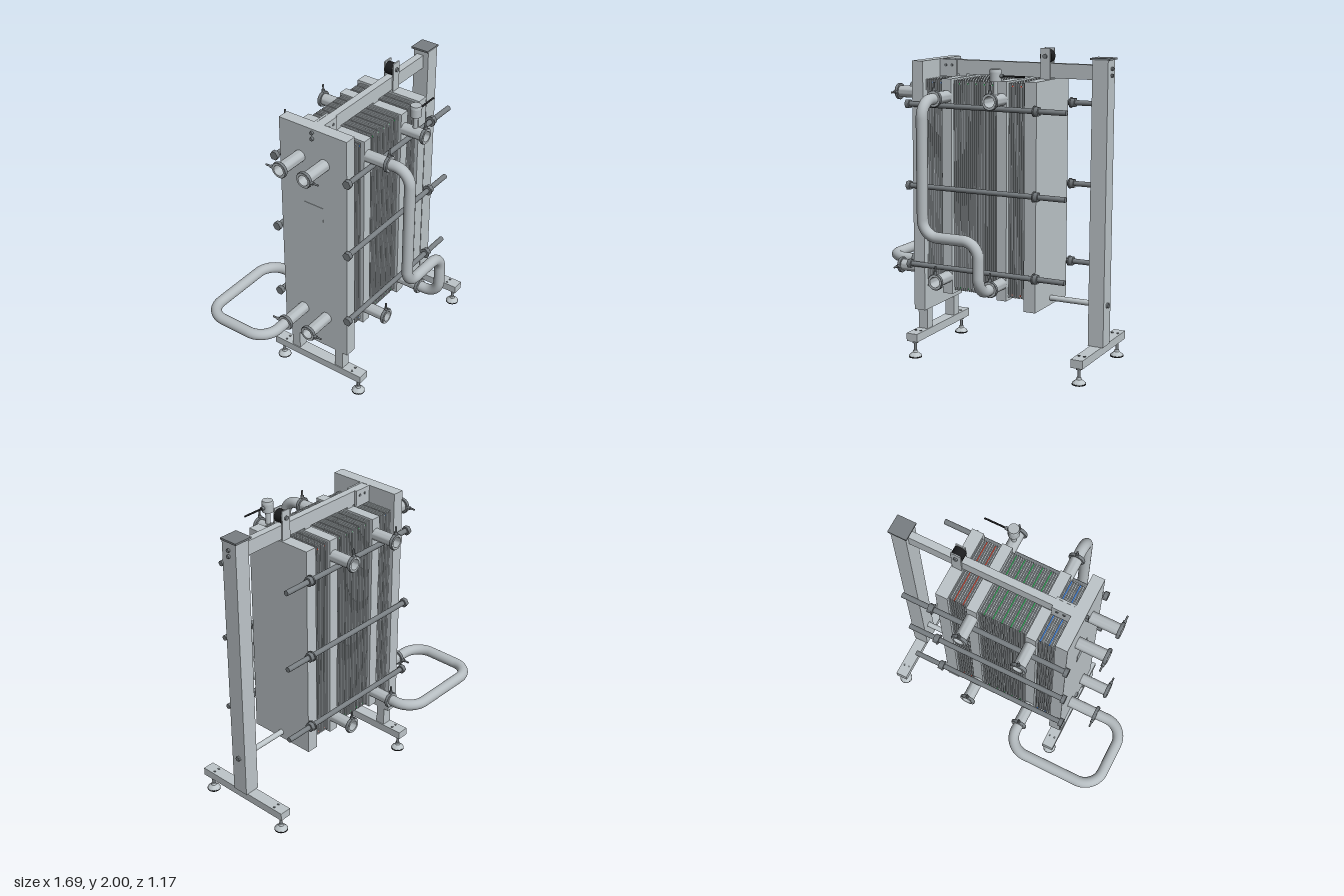
import * as THREE from 'three';
import { toCreasedNormals } from 'three/addons/utils/BufferGeometryUtils.js';

const mat = (name, color) => {
  const m = new THREE.MeshStandardMaterial({ color });
  m.name = name;
  return m;
};
const ZC = 0.015; // centre plane of the frame
const Y = new THREE.Vector3(0, 1, 0);
const V = (x, y, z) => new THREE.Vector3(x, y, z);

export function createModel() {
  const root = new THREE.Group();
  root.name = 'plateHeatExchanger';
  const steel = mat('steel', 0xbec6ca);
  const pipeMetal = mat('pipeMetal', 0xb6bdc1);
  const darkSteel = mat('darkSteel', 0x787e82);
  const black = mat('black', 0x1c1d1f);
  const blue = mat('blueGasket', 0x3f86e8);
  const green = mat('greenGasket', 0x2fb058);
  const red = mat('redGasket', 0xe0452f);

  const add = (name, geo, material, parent = root) => {
    const m = new THREE.Mesh(geo, material);
    m.name = name;
    parent.add(m);
    return m;
  };
  // box from its limits
  const box = (name, x0, x1, y0, y1, z0, z1, material) => {
    const m = add(name, new THREE.BoxGeometry(x1 - x0, y1 - y0, z1 - z0), material);
    m.position.set((x0 + x1) / 2, (y0 + y1) / 2, (z0 + z1) / 2);
  };
  // cylinder between two points
  const rod = (name, a, b, r, material, sides = 20, r2 = r) => {
    const d = b.clone().sub(a);
    const m = add(name, new THREE.CylinderGeometry(r2, r, d.length(), sides), material);
    m.position.copy(a).add(b).multiplyScalar(0.5);
    m.quaternion.setFromUnitVectors(Y, d.normalize());
  };
  const lathe = (name, profile, material, parent) =>
    add(name, toCreasedNormals(
      new THREE.LatheGeometry(profile.map(([r, y]) => new THREE.Vector2(r, y)), 28), 0.6), material, parent);

  // pipe along a polyline with rounded corners
  const pipe = (name, pts, bend) => {
    const path = new THREE.CurvePath();
    let last = pts[0];
    for (let i = 1; i < pts.length - 1; i++) {
      const p = pts[i];
      const u = pts[i - 1].clone().sub(p).normalize();
      const w = pts[i + 1].clone().sub(p).normalize();
      const a = p.clone().addScaledVector(u, bend), b = p.clone().addScaledVector(w, bend);
      path.add(new THREE.LineCurve3(last, a));
      path.add(new THREE.CubicBezierCurve3(a, p.clone().addScaledVector(u, bend * 0.448),
        p.clone().addScaledVector(w, bend * 0.448), b));
      last = b;
    }
    path.add(new THREE.LineCurve3(last, pts[pts.length - 1]));
    add(name, new THREE.TubeGeometry(path, 140, 0.035, 24), pipeMetal);
  };

  // hollow nozzle with clamp ring and clamp bolt
  const nozzle = (pos, dir, len, boltDir) => {
    const g = new THREE.Group();
    g.name = 'nozzle';
    g.position.copy(pos);
    g.quaternion.setFromUnitVectors(Y, dir);
    root.add(g);
    lathe('nozzleTube', [[0.038, 0], [0.038, len - 0.015], [0.046, len - 0.01], [0.046, len],
      [0.034, len], [0.034, 0.01], [0, 0.01]], pipeMetal, g);
    const c = len - 0.012;
    lathe('clampRing', [[0.037, c - 0.01], [0.05, c - 0.01], [0.053, c - 0.005], [0.053, c + 0.005],
      [0.05, c + 0.01], [0.037, c + 0.01]], darkSteel, g);
    const at = (r) => pos.clone().addScaledVector(dir, c).addScaledVector(boltDir, r);
    rod('clampLug', at(0.045), at(0.068), 0.011, darkSteel, 12);
    rod('clampBolt', at(0.06), at(0.102), 0.006, darkSteel, 10);
  };

  // end plates
  box('fixedPlate', -0.41, -0.332, 0.30, 1.91, -0.232, 0.262, steel);
  box('ratingPlate', -0.4125, -0.41, 1.28, 1.38, -0.055, 0.085, steel);
  box('pressurePlate', 0.368, 0.447, 0.38, 1.81, -0.222, 0.245, steel);
  for (const z of [-0.16, 0.19]) box('plateLeg', -0.405, -0.338, 0.16, 0.30, z - 0.031, z + 0.031, steel);

  // column with cap
  box('column', 0.73, 0.832, 0.165, 1.94, -0.04, 0.07, steel);
  box('columnCap', 0.717, 0.842, 1.94, 1.952, -0.052, 0.072, darkSteel);

  // foot beams and levelling feet
  for (const x of [-0.372, 0.782]) {
    box('footBeam', x - 0.039, x + 0.039, 0.112, 0.165, -0.335, 0.365, steel);
    for (const s of [-1, 1]) {
      const z = ZC + s * 0.308;
      const g = new THREE.Group();
      g.name = 'levellingFoot';
      g.position.set(x, 0, z);
      root.add(g);
      lathe('footPad', [[0, 0], [0.043, 0], [0.043, 0.008], [0, 0.008]], black, g);
      lathe('footCone', [[0.042, 0.008], [0.04, 0.014], [0.017, 0.032], [0.014, 0.045], [0, 0.045]], steel, g);
      rod('footStem', V(x, 0.04, z), V(x, 0.115, z), 0.01, darkSteel, 12);
      rod('footNut', V(x, 0.094, z), V(x, 0.112, z), 0.019, darkSteel, 6);
      for (const dx of [-0.018, 0.018])
        rod('beamBolt', V(x + dx, 0.16, ZC + s * 0.27), V(x + dx, 0.17, ZC + s * 0.27), 0.008, darkSteel, 6);
    }
  }

  // carrying rail, mounting brackets and guide bar
  box('topRail', -0.34, 0.735, 1.818, 1.908, -0.015, 0.032, steel);
  for (const [z0, z1, zb] of [[-0.03, -0.015, -0.034], [0.032, 0.045, 0.049]]) {
    box('railBracket', -0.336, -0.21, 1.8, 1.91, z0, z1, steel);
    for (const x of [-0.29, -0.245])
      rod('bracketBolt', V(x, 1.872, z0 > 0 ? z0 : z1), V(x, 1.872, zb), 0.01, darkSteel, 6);
  }
  rod('guideBar', V(-0.415, 0.425, ZC), V(0.835, 0.425, ZC), 0.018, steel);
  for (const [x, s] of [[-0.41, -1], [0.83, 1]])
    for (const [y, r] of [[1.888, 0.012], [1.848, 0.012], [0.425, 0.017]])
      rod('endBolt', V(x, y, ZC), V(x + s * 0.015, y, ZC), r, darkSteel, 6);

  // roller hanger on the pressure plate
  for (const [z0, z1] of [[-0.026, -0.018], [0.036, 0.044]])
    box('hangerCheek', 0.375, 0.44, 1.8, 2.0, z0, z1, steel);
  rod('roller', V(0.408, 1.95, -0.018), V(0.408, 1.95, 0.036), 0.04, black, 28);
  rod('rollerAxle', V(0.408, 1.95, -0.036), V(0.408, 1.95, 0.054), 0.014, darkSteel, 12);

  // connection frames between the plate packs
  const frameX = [-0.174, 0.211];
  for (const x of frameX) {
    box('connectionFrame', x - 0.034, x + 0.034, 0.43, 1.805, -0.222, 0.242, steel);
    box('frameHanger', x - 0.025, x + 0.025, 1.8, 1.825, -0.012, 0.03, steel);
  }

  // plate packs: ribs over a core, a coloured gasket in every fourth groove
  const pitch = 0.0144;
  for (const [x0, x1, gasket, first] of [
    [-0.332, -0.208, blue, -0.283], [-0.14, 0.177, green, -0.093], [0.245, 0.368, red, 0.275]]) {
    box('packCore', x0, x1, 0.47, 1.775, -0.197, 0.212, steel);
    const half = (i) => (i % 4 === 0 ? 0.0045 : 0.003);
    for (let i = Math.floor((x0 - first) / pitch); first + i * pitch < x1; i++) {
      const x = first + i * pitch;
      const a = Math.max(x0, x + half(i)), b = Math.min(x1, x + pitch - half(i + 1));
      if (b - a > 0.001) box('plate', a, b, 0.452, 1.795, -0.205, 0.22, steel);
      if (i % 4 === 0 && x > x0)
        for (const y of [0.469, 1.776])
          box('gasket', x - 0.0045, x + 0.0045, y - 0.004, y + 0.004, -0.203, 0.218, gasket);
    }
  }

  // tie rods
  for (const y of [0.608, 1.12, 1.64])
    for (const z of [-0.26, 0.28]) {
      rod('tieRod', V(-0.43, y, z), V(0.66, y, z), 0.017, darkSteel);
      rod('tieHead', V(-0.44, y, z), V(-0.413, y, z), 0.03, darkSteel, 6);
      rod('tieWasher', V(0.447, y, z), V(0.455, y, z), 0.034, darkSteel);
      rod('tieNut', V(0.455, y, z), V(0.482, y, z), 0.031, darkSteel, 6);
    }

  // nozzles on the frames and the fixed plate
  for (const y of [0.54, 1.695]) {
    for (const x of frameX) {
      nozzle(V(x, y, 0.24), V(0, 0, 1), 0.168, Y);
      nozzle(V(x, y, -0.22), V(0, 0, -1), 0.17, Y);
    }
    for (const [z, s] of [[-0.081, -1], [0.099, 1]])
      nozzle(V(-0.41, y, z), V(-1, 0, 0), 0.203, V(0, 0, s));
  }

  // connecting pipes
  const [xa, xb] = frameX;
  pipe('frontPipe', [V(xa, 1.695, 0.39), V(xa, 1.695, 0.547), V(xa, 0.865, 0.547),
    V(xb, 0.865, 0.547), V(xb, 0.54, 0.547), V(xb, 0.54, 0.39)], 0.105);
  pipe('loopPipe', [V(-0.6, 0.54, -0.081), V(-0.813, 0.54, -0.081), V(-0.813, 0.54, -0.551),
    V(xa, 0.54, -0.551), V(xa, 0.54, -0.375)], 0.13);

  // temperature sensor with cable
  rod('sensorStem', V(xb, 1.72, 0.323), V(xb, 1.82, 0.323), 0.016, pipeMetal);
  rod('sensorHead', V(xb, 1.812, 0.323), V(xb, 1.868, 0.323), 0.036, pipeMetal, 24);
  rod('sensorCap', V(xb, 1.868, 0.323), V(xb, 1.886, 0.323), 0.038, pipeMetal, 24, 0.034);
  rod('cableGland', V(0.235, 1.845, 0.323), V(0.265, 1.845, 0.323), 0.012, darkSteel, 12);
  rod('sensorCable', V(0.26, 1.845, 0.323), V(0.405, 1.845, 0.323), 0.006, black, 10);
  return root;
}
